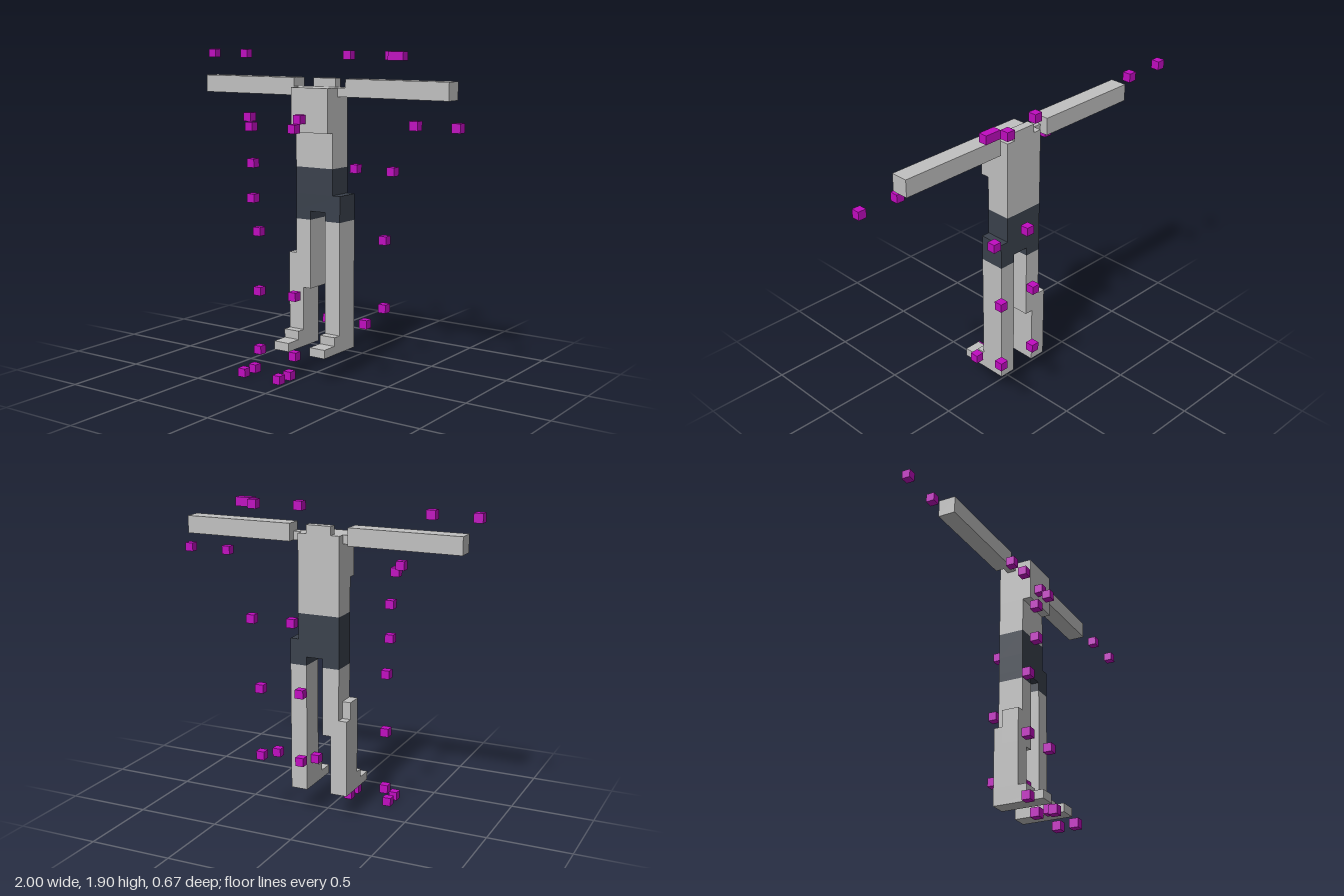
import * as THREE from 'three';

const V = 2 / 39; // edge of one cube of the voxel grid

export function createModel() {
  const model = new THREE.Group();
  const mat = (name, color) => {
    const m = new THREE.MeshStandardMaterial({ color });
    m.name = name;
    return m;
  };
  const grey = mat('bodyGrey', 0xc0c0c0);
  const dark = mat('shortsSlate', 0x3a414c);
  const purple = mat('markerPurple', 0xc00cc0);

  // Block filling inclusive cell ranges; x and z cells are centred on 0, y cells start at 0
  function block(parent, name, material, x0, x1, y0, y1, z0, z1) {
    const mesh = new THREE.Mesh(
      new THREE.BoxGeometry((x1 - x0 + 1) * V, (y1 - y0 + 1) * V, (z1 - z0 + 1) * V), material);
    mesh.position.set((x0 + x1) / 2 * V, (y0 + y1 + 1) / 2 * V, (z0 + z1) / 2 * V);
    mesh.name = name;
    parent.add(mesh);
  }
  function part(name) {
    const g = new THREE.Group();
    g.name = name;
    model.add(g);
    return g;
  }

  // Torso
  const torso = part('torso');
  block(torso, 'belly', grey, -2, 2, 24, 27, -2, 0);
  block(torso, 'chest', grey, -2, 2, 28, 32, -2, 1);
  block(torso, 'neck', grey, -1, 1, 33, 33, -2, -2);

  // Outstretched arms
  for (const s of [-1, 1]) {
    const arm = part(s > 0 ? 'leftArm' : 'rightArm');
    const [a, b] = s > 0 ? [4, 16] : [-16, -4];
    block(arm, 'armBar', grey, a, b, 32, 33, -2, -1);
    block(arm, 'shoulderJoint', grey, 3 * s, 3 * s, 32, 32, -1, -1);
  }

  // Shorts
  const shorts = part('shorts');
  block(shorts, 'waist', dark, -2, 2, 21, 23, -2, 0);
  block(shorts, 'seat', dark, -2, 3, 19, 20, -2, 0);
  block(shorts, 'rightCuff', dark, -2, -1, 18, 18, -2, 0);
  block(shorts, 'leftCuff', dark, 2, 3, 18, 18, -2, 0);

  // Legs: the left is straight, the right steps outward at the knee
  const leftLeg = part('leftLeg');
  block(leftLeg, 'leg', grey, 2, 3, 5, 17, -2, 0);
  const rightLeg = part('rightLeg');
  block(rightLeg, 'thigh', grey, -2, -1, 10, 17, -2, 0);
  block(rightLeg, 'shin', grey, -3, -2, 5, 9, -2, 0);
  block(rightLeg, 'kneeBack', grey, -3, -3, 10, 11, -2, -2);
  block(rightLeg, 'kneeSide', grey, -3, -3, 10, 13, -1, 0);

  // Stepped feet
  for (const [leg, x] of [[leftLeg, 2], [rightLeg, -3]]) {
    block(leg, 'instep', grey, x, x + 1, 4, 4, -2, 1);
    block(leg, 'sole', grey, x, x + 1, 3, 3, -2, 3);
  }

  // Floating marker cubes: x, y, z cells
  const markers = part('markers');
  const cells = [
    [-19, 36, -5], [-14, 36, -5], [1, 36, -5], [6, 36, -6], [7, 36, -5], [8, 36, -5],
    [-8, 29, 2], [-1, 29, 2], [14, 29, 2], [19, 29, 2],
    [-7, 28, 3], [-1, 28, 3], [-6, 24, 4], [2, 23, -5], [7, 23, -5],
    [-6, 20, 4], [-6, 16, 3],
  ];
  for (const x of [1, 6]) cells.push([x, 15, -5], [x, 7, -5], [x, 6, -1]);
  for (const x of [-6, -1]) cells.push([x, 9, 3], [x, 2, 3], [x, 0, 4], [x, 0, 6]);
  for (const [x, y, z] of cells) block(markers, 'marker', purple, x, x, y, y, z, z);

  return model;
}
